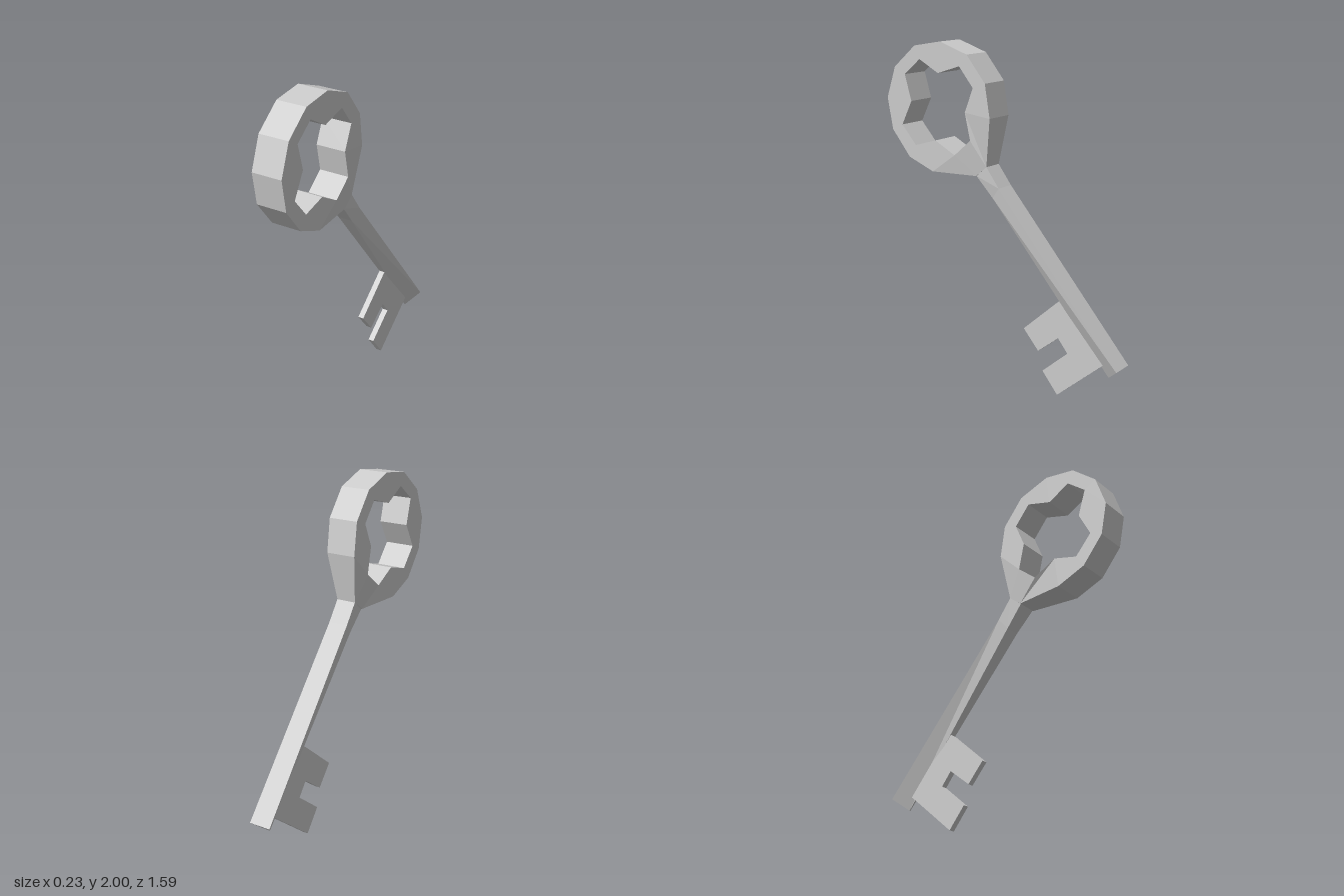
import * as THREE from 'three';

const material = new THREE.MeshStandardMaterial({ color: 0xcccccc, flatShading: true, side: THREE.DoubleSide });

// Skins a row of four-cornered sections; closed joins the last to the first, otherwise both ends are capped.
function loft(sections, closed) {
  const n = sections.length;
  const index = [];
  const quad = (a, b, c, d) => index.push(a, b, c, a, c, d);
  for (let i = 0; i < (closed ? n : n - 1); i++) {
    const j = (i + 1) % n;
    for (let k = 0; k < 4; k++) {
      const m = (k + 1) % 4;
      quad(i * 4 + k, j * 4 + k, j * 4 + m, i * 4 + m);
    }
  }
  if (!closed) {
    const e = (n - 1) * 4;
    quad(0, 1, 2, 3);
    quad(e, e + 3, e + 2, e + 1);
  }
  const geometry = new THREE.BufferGeometry();
  geometry.setAttribute('position', new THREE.Float32BufferAttribute(sections.flat(2), 3));
  geometry.setIndex(index);
  const flat = geometry.toNonIndexed();
  flat.computeVertexNormals();
  return flat;
}

// Section between two (z, y) points with a half thickness at each
const section = ([az, ay], ah, [bz, by], bh) =>
  [[ah, ay, az], [-ah, ay, az], [-bh, by, bz], [bh, by, bz]];

function addMesh(group, name, geometry) {
  const mesh = new THREE.Mesh(geometry, material);
  mesh.name = name;
  group.add(mesh);
}

export function createModel() {
  const key = new THREE.Group();
  key.name = 'key';

  // Bow: twelve-sided outside, scalloped inside, thinner where it meets the shaft
  const outer = [
    [0.38, 2], [0.19, 1.935], [0.065, 1.78], [0.035, 1.585], [0.085, 1.3], [0.16, 1.24],
    [0.455, 1.24], [0.63, 1.31], [0.755, 1.465], [0.79, 1.655], [0.725, 1.84], [0.57, 1.97],
  ];
  const inner = [
    [0.4, 1.82], [0.245, 1.867], [0.15, 1.75], [0.21, 1.607], [0.175, 1.448], [0.29, 1.353],
    [0.43, 1.427], [0.58, 1.385], [0.68, 1.5], [0.605, 1.645], [0.65, 1.8], [0.535, 1.893],
  ];
  const bow = outer.map((p, i) => section(p, i === 4 || i === 5 ? 0.06 : 0.091, inner[i], 0.091));
  addMesh(key, 'bow', loft(bow, true));

  // Shaft: its lower edge narrows to a point at the tip
  addMesh(key, 'shaft', loft([
    section([0.085, 1.3], 0.06, [0.16, 1.24], 0.055),
    section([0, 1.185], 0.06, [0.055, 1.12], 0.044),
    section([-0.788, 0.25], 0.067, [-0.703, 0.18], 0.003),
  ], false));

  // Bit: flat plate with two teeth, its root sunk into the shaft
  const outline = [
    [0.42, 0.6], [0.37, 0.562], [0.14, 0.362], [0.24, 0.244], [0.377, 0.35],
    [0.44, 0.27], [0.27, 0.128], [0.371, 0.002], [0.652, 0.233], [0.7, 0.27],
  ].map(([x, y]) => new THREE.Vector2(x, y));
  const bit = new THREE.ExtrudeGeometry(new THREE.Shape(outline), { depth: 0.035, bevelEnabled: false });
  bit.translate(0, 0, -0.0175).rotateY(Math.PI / 2);
  addMesh(key, 'bit', bit);

  // Slight lean of the whole key
  key.rotation.set(0, -0.056, -0.0145);
  key.position.x = -0.0035;

  const model = new THREE.Group();
  model.name = 'keyModel';
  model.add(key);
  return model;
}
